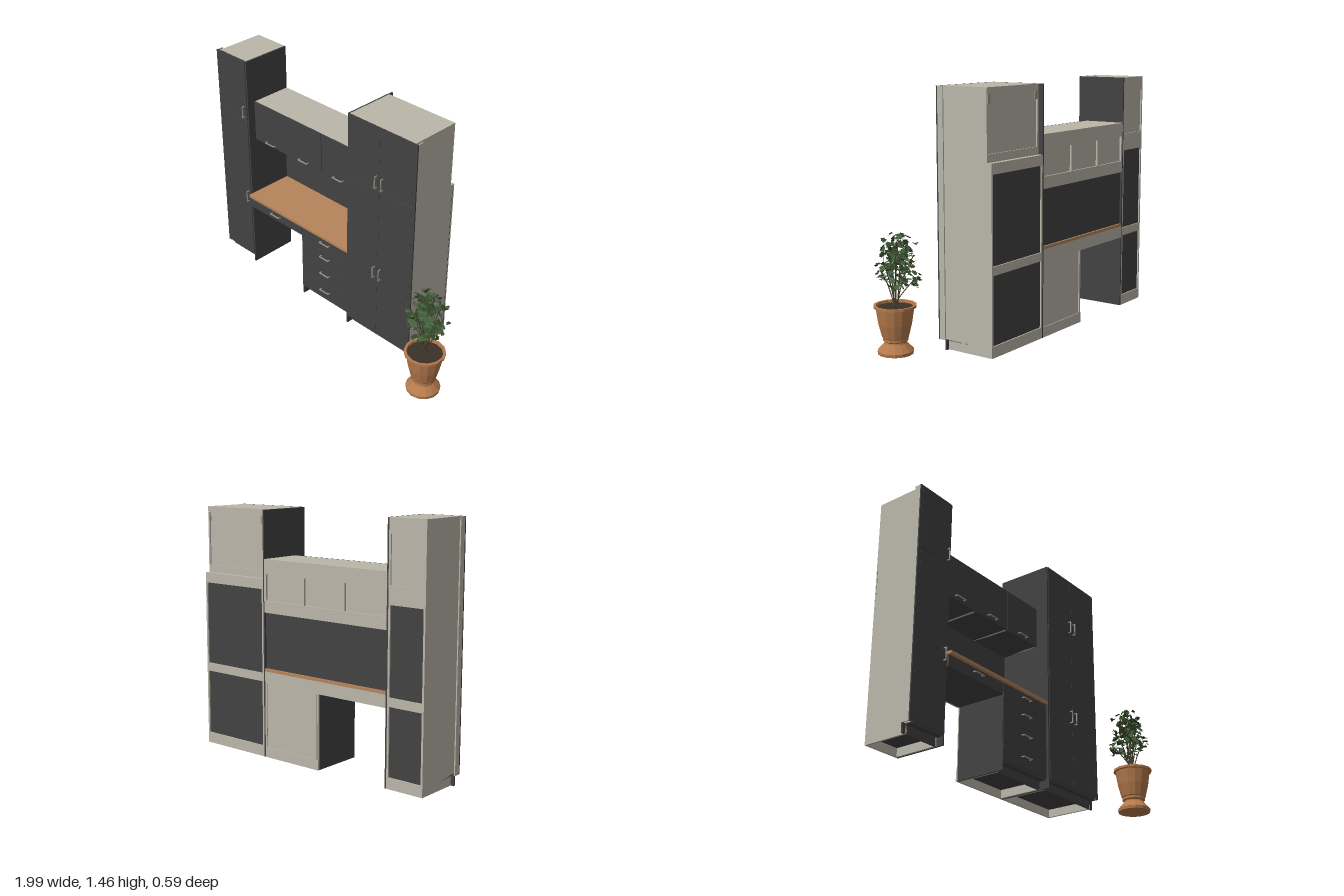
import * as THREE from 'three';

const mat = (name, color, side = THREE.FrontSide) => {
  const m = new THREE.MeshStandardMaterial({ color, side });
  m.name = name;
  return m;
};

export function createModel() {
  const charcoal = mat('charcoal', 0x424242);
  const cream = mat('cream', 0xbab6a9);
  const wood = mat('wood', 0xb5845a);
  const metal = mat('metal', 0x9a958a);
  const clay = mat('terracotta', 0xb57a4c, THREE.DoubleSide);
  const soil = mat('soil', 0x3a3027);
  const bark = mat('bark', 0x4d4232);
  const greens = [mat('leafGreen', 0x44623a, THREE.DoubleSide), mat('darkLeafGreen', 0x31492b, THREE.DoubleSide)];

  const root = new THREE.Group();
  root.name = 'deskWallUnit';
  const group = (name) => {
    const g = new THREE.Group();
    g.name = name;
    root.add(g);
    return g;
  };
  // Box given by its limits on each axis
  const box = (parent, name, m, x0, x1, y0, y1, z0, z1) => {
    const mesh = new THREE.Mesh(new THREE.BoxGeometry(Math.abs(x1 - x0), y1 - y0, z1 - z0), m);
    mesh.position.set((x0 + x1) / 2, (y0 + y1) / 2, (z0 + z1) / 2);
    mesh.name = name;
    parent.add(mesh);
    return mesh;
  };
  // Bar handle on two posts, standing off a front at z
  const handle = (parent, x, y, z, upright) => {
    const h = new THREE.Group();
    h.name = 'handle';
    const r = 0.003, L = 0.036;
    box(h, 'handleBar', metal, -L, L, -r, r, 0.014, 0.02);
    for (const s of [-1, 1]) box(h, 'handlePost', metal, s * L - r, s * L + r, -r, r, 0, 0.02);
    h.position.set(x, y, z);
    if (upright) h.rotation.z = Math.PI / 2;
    parent.add(h);
  };

  const B = -0.305, T = 0.012, KICK = 0.055, H = 1.455, SPLIT = 1.06;

  // Tall cabinet: s is the outer side, a the inner face, b the outer face, zf the front
  const tower = (name, s, a, b, zf, upperBack, doors) => {
    const g = group(name);
    const i = a + s * 0.01, end = b + s * 0.02, zc = zf - 0.008;
    box(g, 'innerEndPanel', charcoal, a, i, 0, H, B, zf - 0.004);
    const sections = [[KICK, SPLIT, B], [SPLIT, H, upperBack]];
    for (const [y0, y1, zb] of sections) {
      box(g, 'outerSide', cream, b - s * T, b, y0, y1, zb, zc);
      box(g, 'innerSide', cream, i, i + s * T, y0, y1, zb, zc);
      box(g, 'topBoard', cream, i, b, y1 - T, y1, zb, zc);
      box(g, 'frontLining', charcoal, i, b, y0, y1, zc - 0.004, zc);
    }
    // Open plinth with a set-back toe kick
    box(g, 'plinthSide', cream, b - s * T, b, 0, KICK, B, zf - 0.045);
    box(g, 'plinthInnerSide', cream, i, i + s * T, 0, KICK, B, zf - 0.045);
    box(g, 'plinthBack', cream, i, b, 0, 0.065, B, B + T);
    box(g, 'toeKick', charcoal, i, end, 0, KICK, zf - 0.055, zf - 0.045);
    box(g, 'bottomBoard', charcoal, i, b, KICK - 0.006, KICK + 0.006, B + T, zc);
    // Back rails and recessed backs
    box(g, 'middleRail', cream, i, b, 0.455, 0.505, B, B + T);
    box(g, 'upperRail', cream, i, b, 1.0, SPLIT, B, B + T);
    box(g, 'lowerBack', charcoal, i, b, 0.06, 1.02, B + 0.008, B + 0.014);
    box(g, 'topRail', cream, i, b, 1.37, H, upperBack, upperBack + T);
    box(g, 'lowRail', cream, i, b, SPLIT, 1.105, upperBack, upperBack + T);
    box(g, 'upperBack', cream, i, b, SPLIT, H - T, upperBack + 0.008, upperBack + 0.016);
    // Doors
    const w = (b - i) / doors;
    for (let d = 0; d < doors; d++) {
      const x0 = i + w * d + s * 0.0006, x1 = i + w * (d + 1) - s * 0.0006;
      box(g, 'lowerDoor', charcoal, x0, x1, KICK + 0.006, SPLIT - 0.003, zc, zf);
      box(g, 'upperDoor', charcoal, x0, x1, SPLIT + 0.003, H, zc, zf);
    }
    // Corner filler at the wall
    box(g, 'fillerFront', charcoal, b, end, KICK, H, zc, zf);
    box(g, 'fillerReturn', cream, end - s * 0.007, end, KICK, H, zf - 0.045, zc);
    const hx = doors === 2 ? [i + w - 0.023, i + w + 0.023] : [a + s * 0.03];
    for (const x of hx) for (const y of [0.505, 1.115]) handle(g, x, y, zf, true);
    return g;
  };
  tower('leftTower', -1, -0.735, -0.98, 0.02, B, 1);
  const wide = tower('wideTower', 1, 0.14, 0.625, 0.05, -0.275, 2);
  for (const x of [0.17, 0.6]) box(wide, 'hangingBracket', metal, x, x + 0.02, 1.37, 1.42, -0.28, -0.275);

  // Wall cabinets between the towers
  const X0 = -0.735, X1 = 0.14;
  const wall = group('wallCabinets');
  const y0 = 0.915, y1 = 1.175;
  box(wall, 'topBoard', cream, X0, X1, y1 - T, y1, B, -0.043);
  box(wall, 'bottomBoard', charcoal, X0, X1, y0, y0 + T, B + T, -0.043);
  box(wall, 'frontLining', charcoal, X0, X1, y0, y1 - T, -0.047, -0.043);
  box(wall, 'backPanel', cream, X0, X1, y0, y1 - T, B + 0.012, B + 0.02);
  box(wall, 'topRail', cream, X0, X1, 1.09, y1 - T, B, B + T);
  box(wall, 'lowRail', cream, X0, X1, 0.865, 0.935, B, B + T);
  for (const x of [X0 + 0.006, -0.445, -0.155, X1 - 0.006])
    box(wall, 'divider', cream, x - 0.008, x + 0.008, y0, y1 - T, B, -0.047);
  box(wall, 'wideFlap', charcoal, X0, -0.157, y0, y1, -0.043, -0.035);
  box(wall, 'smallFlap', charcoal, -0.153, X1, y0, y1, -0.043, -0.035);
  for (const x of [-0.59, -0.3, -0.01]) handle(wall, x, 0.935, -0.035, false);

  // Desk: splashback, worktop, drawers
  const desk = group('desk');
  box(desk, 'splashback', charcoal, X0, X1, 0.535, y0, B + 0.012, B + 0.02);
  box(desk, 'worktop', wood, X0, X1, 0.518, 0.535, B, 0.045);
  box(desk, 'apronBack', cream, X0, X1, 0.445, 0.518, B, B + T);
  box(desk, 'drawerBoxBottom', charcoal, X0, -0.265, 0.445, 0.455, B + T, 0.022);
  box(desk, 'wideDrawerFront', charcoal, X0, -0.268, 0.445, 0.514, 0.022, 0.03);
  handle(desk, -0.495, 0.485, 0.03, false);
  const D = -0.265;
  box(desk, 'drawerEndPanel', charcoal, D, D + 0.01, 0, 0.518, B + T, 0.026);
  box(desk, 'drawerSide', cream, D + 0.01, D + 0.022, 0, 0.518, B, -0.02);
  box(desk, 'drawerInnerSide', cream, X1 - T, X1, 0, 0.518, B, -0.02);
  box(desk, 'drawerBack', cream, D, X1, 0.05, 0.445, B + 0.005, B + T);
  box(desk, 'drawerPlinthBack', cream, D, X1, 0, 0.06, B, B + T);
  box(desk, 'drawerBottom', charcoal, D + 0.01, X1, 0.05, 0.06, B + T, 0.022);
  box(desk, 'drawerToeKick', charcoal, D + 0.01, X1, 0, 0.055, -0.03, -0.02);
  box(desk, 'drawerLining', charcoal, D + 0.01, X1, 0.06, 0.518, 0.016, 0.022);
  const cuts = [0.06, 0.167, 0.295, 0.42, 0.518];
  const grips = [0.123, 0.252, 0.376, 0.482];
  grips.forEach((y, k) => {
    box(desk, 'drawerFront', charcoal, D + 0.002, X1, cuts[k] + 0.002, cuts[k + 1] - 0.002, 0.022, 0.03);
    handle(desk, -0.057, y, 0.03, false);
  });

  // Flower pot
  const plant = group('pottedPlant');
  plant.position.set(0.867, 0.01, 0.17);
  const add = (name, geo, m) => {
    const mesh = new THREE.Mesh(geo, m);
    mesh.name = name;
    plant.add(mesh);
    return mesh;
  };
  const profile = [[0, 0], [0.098, 0], [0.1, 0.018], [0.085, 0.035], [0.062, 0.06], [0.06, 0.068], [0.07, 0.075], [0.07, 0.09],
    [0.074, 0.095], [0.093, 0.17], [0.106, 0.255], [0.118, 0.258], [0.118, 0.272], [0.104, 0.272], [0.1, 0.24]];
  const potGeo = new THREE.LatheGeometry(profile.map(([x, y]) => new THREE.Vector2(x, y)), 14).toNonIndexed();
  potGeo.computeVertexNormals();
  add('pot', potGeo, clay);
  add('soil', new THREE.CylinderGeometry(0.102, 0.1, 0.015, 14), soil).position.y = 0.25;

  // Seeded random numbers for the foliage
  let seed = 11;
  const rnd = () => (seed = (seed * 16807) % 2147483647) / 2147483647;
  const spread = (r) => (rnd() * 2 - 1) * r;

  // Lobed leaf, gently cupped
  const leafShape = new THREE.Shape();
  const lobes = [[0.25, -0.08], [0.48, 0.15], [0.36, 0.36], [0.46, 0.6], [0.22, 0.72], [0, 1]];
  leafShape.moveTo(0, 0);
  for (const [x, y] of lobes) leafShape.lineTo(x, y);
  for (const [x, y] of lobes.slice(0, -1).reverse()) leafShape.lineTo(-x, y);
  const leafGeo = new THREE.ShapeGeometry(leafShape);
  const lp = leafGeo.attributes.position;
  for (let k = 0; k < lp.count; k++) lp.setZ(k, 0.4 * Math.abs(lp.getX(k)) - 0.2 * lp.getY(k) ** 2);
  leafGeo.computeVertexNormals();

  // Stems fan out from the soil, each with side twigs and leaves
  const V = (x, y, z) => new THREE.Vector3(x, y, z);
  const stems = 13;
  for (let n = 0; n < stems; n++) {
    const ang = n * 2.4, reach = 0.115 * Math.sqrt((n + 0.3) / stems);
    const top = 0.655 - 0.24 * (n / stems) + spread(0.03);
    const tip = V(Math.cos(ang) * reach - 0.012, top, Math.sin(ang) * reach - 0.02);
    const curve = new THREE.QuadraticBezierCurve3(V(spread(0.015), 0.25, spread(0.015)), V(tip.x * 0.35, 0.25 + (top - 0.25) * 0.6, tip.z * 0.35), tip);
    add('stem', new THREE.TubeGeometry(curve, 6, 0.003, 5), bark);
    for (let k = 0; k < 17; k++) {
      const p = curve.getPoint(0.5 + 0.5 * Math.sqrt(rnd()));
      const q = p.clone().add(V(spread(0.042), spread(0.04), spread(0.042)));
      if (q.y < 0.34) q.y = 0.34 + rnd() * 0.04;
      if (k % 3 === 0) add('twig', new THREE.TubeGeometry(new THREE.LineCurve3(p, q), 1, 0.0014, 4), bark);
      const leaf = add('leaf', leafGeo, greens[k % 2]);
      leaf.position.copy(q);
      leaf.rotation.set(-0.9 + spread(0.9), Math.atan2(q.x, q.z) + spread(1.3), spread(0.8), 'YXZ');
      leaf.scale.setScalar(0.026 + rnd() * 0.014);
    }
  }
  return root;
}
